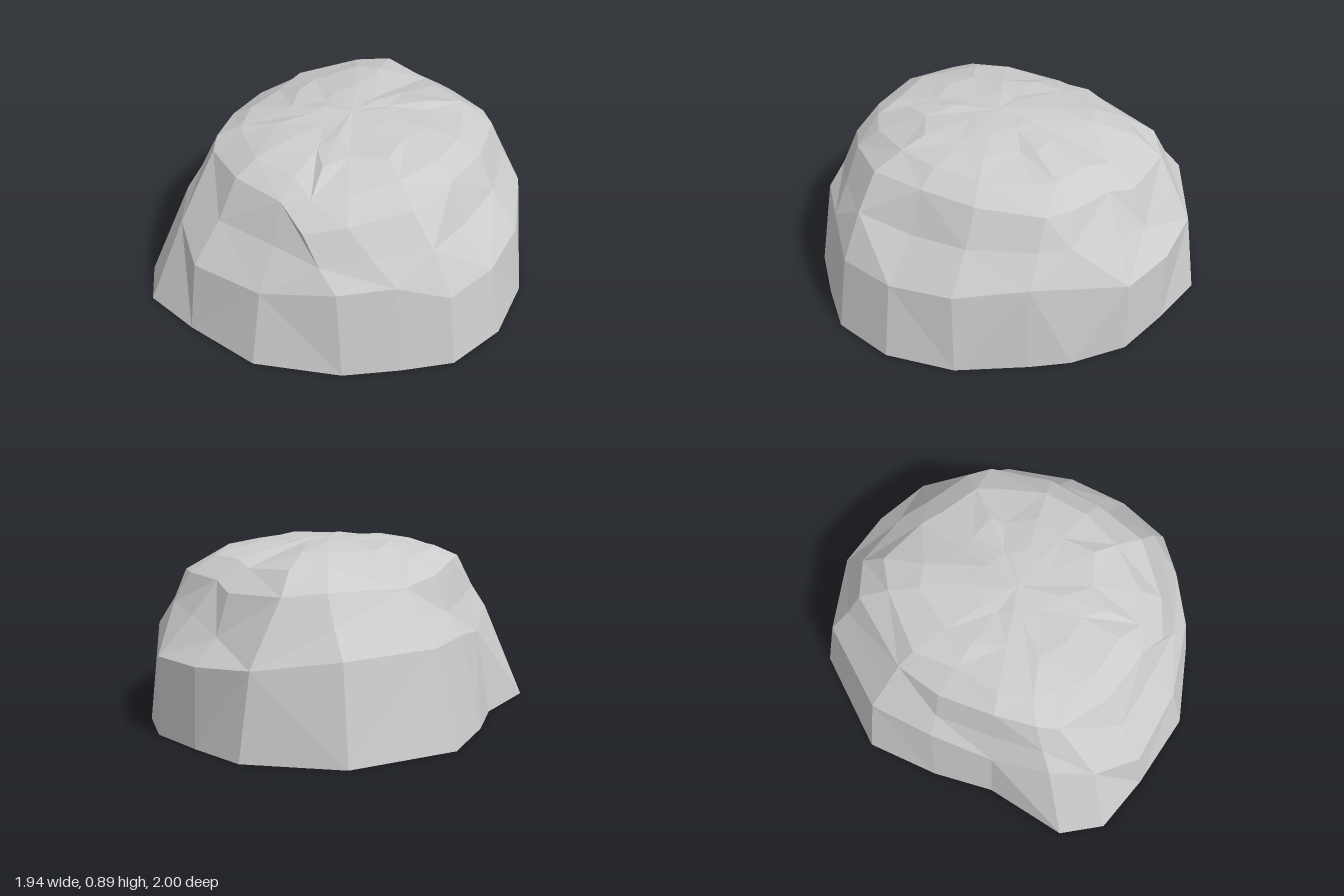
import * as THREE from 'three';

// Outlines run from the front right corner past +x, the back and -x.
// Ground outline: x, z
const base = [
  [-0.41, 1.0], [-0.1, 0.98], [0.3, 0.91], [0.65, 0.65], [0.82, 0.42], [0.96, 0.2],
  [0.97, -0.12], [0.84, -0.44], [0.6, -0.7], [0.45, -0.84], [0.2, -0.98], [-0.1, -1.0],
  [-0.4, -1.0], [-0.8, -0.73], [-0.97, -0.2], [-0.84, 0.16], [-0.69, 0.44], [-0.6, 0.86],
].map(([x, z]) => new THREE.Vector3(x, 0, z));

// Ledge where the steep foot ends: x, y, z
const ledge = [
  [-0.33, 0.46, 0.82], [-0.1, 0.38, 0.92], [0.27, 0.38, 0.82], [0.58, 0.45, 0.62],
  [0.75, 0.47, 0.4], [0.9, 0.38, 0.19], [0.9, 0.38, -0.1], [0.8, 0.4, -0.4],
  [0.58, 0.45, -0.68], [0.42, 0.42, -0.8], [0.2, 0.38, -0.97], [-0.1, 0.38, -0.99],
  [-0.4, 0.4, -0.93], [-0.72, 0.45, -0.68], [-0.86, 0.46, -0.22], [-0.76, 0.46, 0.1],
  [-0.63, 0.42, 0.4], [-0.49, 0.5, 0.66],
].map((p) => new THREE.Vector3(...p));

// Rim of the domed top: x, y, z
const rim = [
  [-0.35, 0.76, 0.58], [-0.08, 0.78, 0.65], [0.2, 0.77, 0.61], [0.36, 0.68, 0.62],
  [0.5, 0.72, 0.47], [0.65, 0.76, 0.2], [0.63, 0.77, -0.08], [0.57, 0.76, -0.35],
  [0.41, 0.74, -0.63], [0.3, 0.74, -0.69], [0.05, 0.73, -0.73], [-0.09, 0.69, -0.78],
  [-0.4, 0.7, -0.74], [-0.55, 0.72, -0.6], [-0.66, 0.71, -0.2], [-0.63, 0.74, 0.05],
  [-0.52, 0.78, 0.32], [-0.42, 0.78, 0.5],
].map((p) => new THREE.Vector3(...p));

const summit = new THREE.Vector3(0, 0.89, -0.03);

// Small seeded noise in -1..1 for the chipped surface
function makeNoise(seed) {
  let s = seed;
  return () => {
    s = (s * 16807) % 2147483647;
    return (s / 2147483647) * 2 - 1;
  };
}

// Ring between two outlines, with separate sideways and upward blends
function blendRing(from, to, side, up, rough, noise) {
  return from.map((a, j) => {
    const b = to[j] ?? summit;
    const p = a.clone().lerp(b, side + noise() * rough);
    p.y = THREE.MathUtils.lerp(a.y, b.y, up + noise() * rough);
    return p;
  });
}

function createBoulderGeometry() {
  const noise = makeNoise(71);
  const rings = [
    base,
    ledge,
    blendRing(ledge, rim, 0.55, 0.48, 0.12, noise),
    rim,
    blendRing(rim, [], 0.18, 0.52, 0.05, noise),
    blendRing(rim, [], 0.45, 0.83, 0.07, noise),
    blendRing(rim, [], 0.72, 0.97, 0.05, noise),
  ];
  const n = base.length;
  const positions = [];
  const face = (...corners) => corners.forEach((p) => positions.push(p.x, p.y, p.z));

  // Sides and dome, with the diagonal direction varied
  for (let i = 0; i < rings.length - 1; i++) {
    for (let j = 0; j < n; j++) {
      const k = (j + 1) % n;
      const a = rings[i][j], b = rings[i][k];
      const c = rings[i + 1][k], d = rings[i + 1][j];
      if ((i + j) % 2) {
        face(a, b, c);
        face(a, c, d);
      } else {
        face(a, b, d);
        face(b, c, d);
      }
    }
  }

  // Summit fan and flat underside
  const ground = new THREE.Vector3(0, 0, 0);
  const top = rings[rings.length - 1];
  for (let j = 0; j < n; j++) {
    const k = (j + 1) % n;
    face(top[j], top[k], summit);
    face(ground, base[k], base[j]);
  }

  const geometry = new THREE.BufferGeometry();
  geometry.setAttribute('position', new THREE.Float32BufferAttribute(positions, 3));
  geometry.computeVertexNormals();
  return geometry;
}

export function createModel() {
  const group = new THREE.Group();
  group.name = 'rock';
  const stone = new THREE.MeshStandardMaterial({ color: 0xcccccc, flatShading: true });
  const boulder = new THREE.Mesh(createBoulderGeometry(), stone);
  boulder.name = 'boulder';
  group.add(boulder);
  return group;
}
